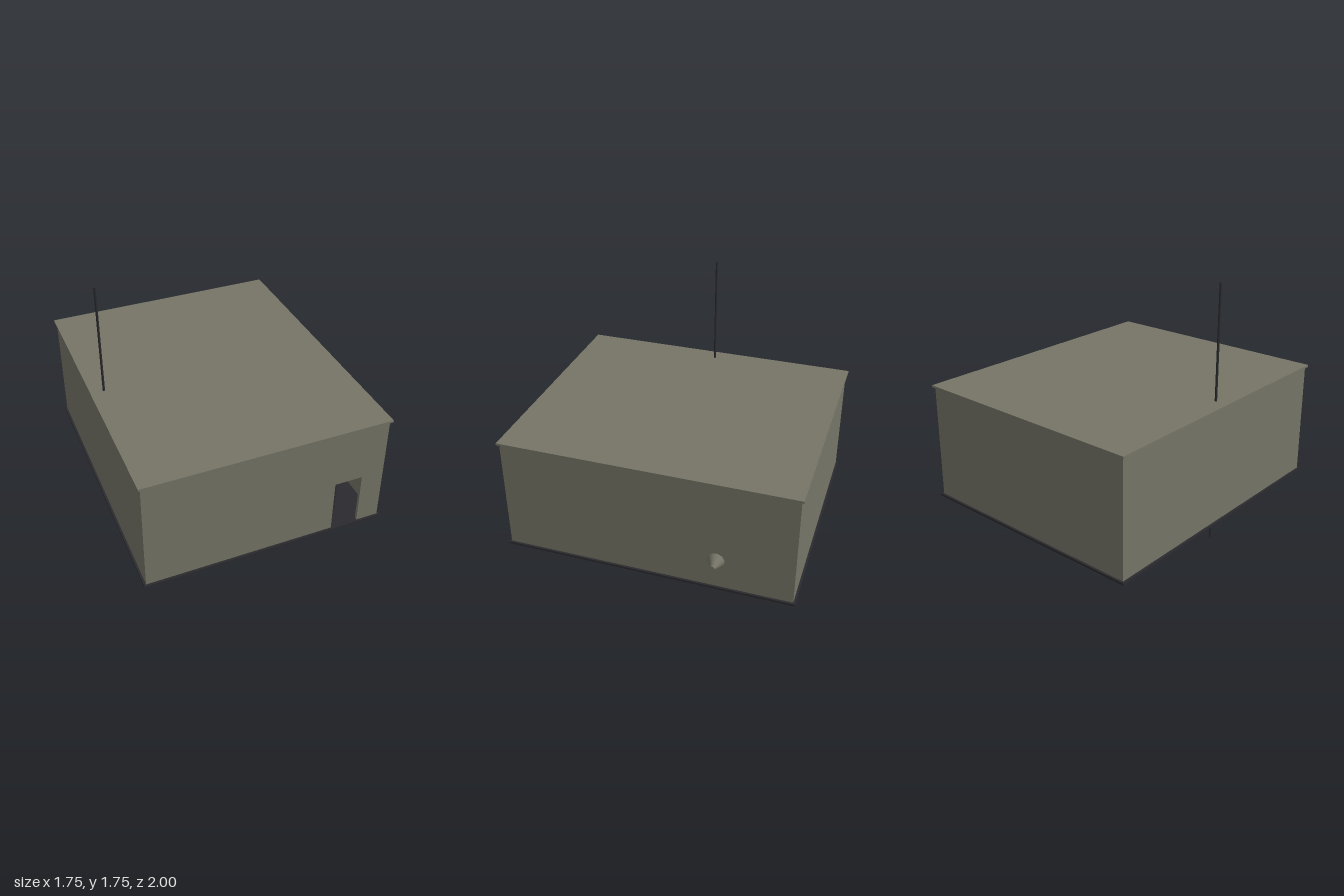
import * as THREE from 'three';

const olive = new THREE.MeshStandardMaterial({ color: 0x757466 });
olive.name = 'olive';
const charcoal = new THREE.MeshStandardMaterial({ color: 0x2b2b2f });
charcoal.name = 'charcoal';

export function createModel() {
  const group = new THREE.Group();

  function add(name, geometry, material, x, y, z) {
    const mesh = new THREE.Mesh(geometry, material);
    mesh.name = name;
    mesh.position.set(x, y, z);
    group.add(mesh);
    return mesh;
  }
  // Box given by its lower and upper corners
  function box(name, material, [x0, y0, z0], [x1, y1, z1]) {
    return add(name, new THREE.BoxGeometry(x1 - x0, y1 - y0, z1 - z0), material,
      (x0 + x1) / 2, (y0 + y1) / 2, (z0 + z1) / 2);
  }

  const left = -0.858, right = 0.792, depth = 0.985, wall = 0.02;
  const bottom = 0.18, top = 0.97;
  const door = { x0: 0.44, x1: 0.635, top: 0.56 };

  // Floor and roof slabs overhang the walls slightly
  box('floor', charcoal, [-0.873, 0.165, -1], [0.807, bottom, 1]);
  box('roof', olive, [-0.873, top, -1], [0.807, 0.985, 1]);

  // Back and side walls
  box('backWall', olive, [left, bottom, -depth], [right, top, -depth + wall]);
  for (const [name, x] of [['rightWall', left], ['leftWall', right - wall]]) {
    box(name, olive, [x, bottom, -depth + wall], [x + wall, top, depth - wall]);
  }

  // Front wall with the doorway cut from its lower edge
  const front = new THREE.Shape([
    [left, bottom], [door.x0, bottom], [door.x0, door.top], [door.x1, door.top],
    [door.x1, bottom], [right, bottom], [right, top], [left, top],
  ].map(([x, y]) => new THREE.Vector2(x, y)));
  add('frontWall', new THREE.ExtrudeGeometry(front, { depth: wall, bevelEnabled: false }),
    olive, 0, 0, depth - wall);

  // Door leaf swung inward on its hinge
  const width = door.x1 - door.x0;
  const leaf = new THREE.BoxGeometry(width, door.top - bottom, 0.01);
  leaf.translate(width / 2, 0, -0.005);
  add('door', leaf, charcoal, door.x0, (door.top + bottom) / 2, depth - wall)
    .rotation.y = THREE.MathUtils.degToRad(50);

  // Horizontal drum inside, with its nozzle passing through the wall
  const axisY = 0.39, axisZ = -0.475;
  add('drum', new THREE.CylinderGeometry(0.135, 0.135, 0.27, 24), olive, 0.637, axisY, axisZ)
    .rotation.z = -Math.PI / 2;
  add('nozzle', new THREE.CylinderGeometry(0.014, 0.056, 0.081, 24), olive, 0.8325, axisY, axisZ)
    .rotation.z = -Math.PI / 2;

  // Mast running from the ground through the building
  add('mast', new THREE.CylinderGeometry(0.008, 0.008, 1.75, 8), charcoal, -0.78, 0.875, 0);

  return group;
}
